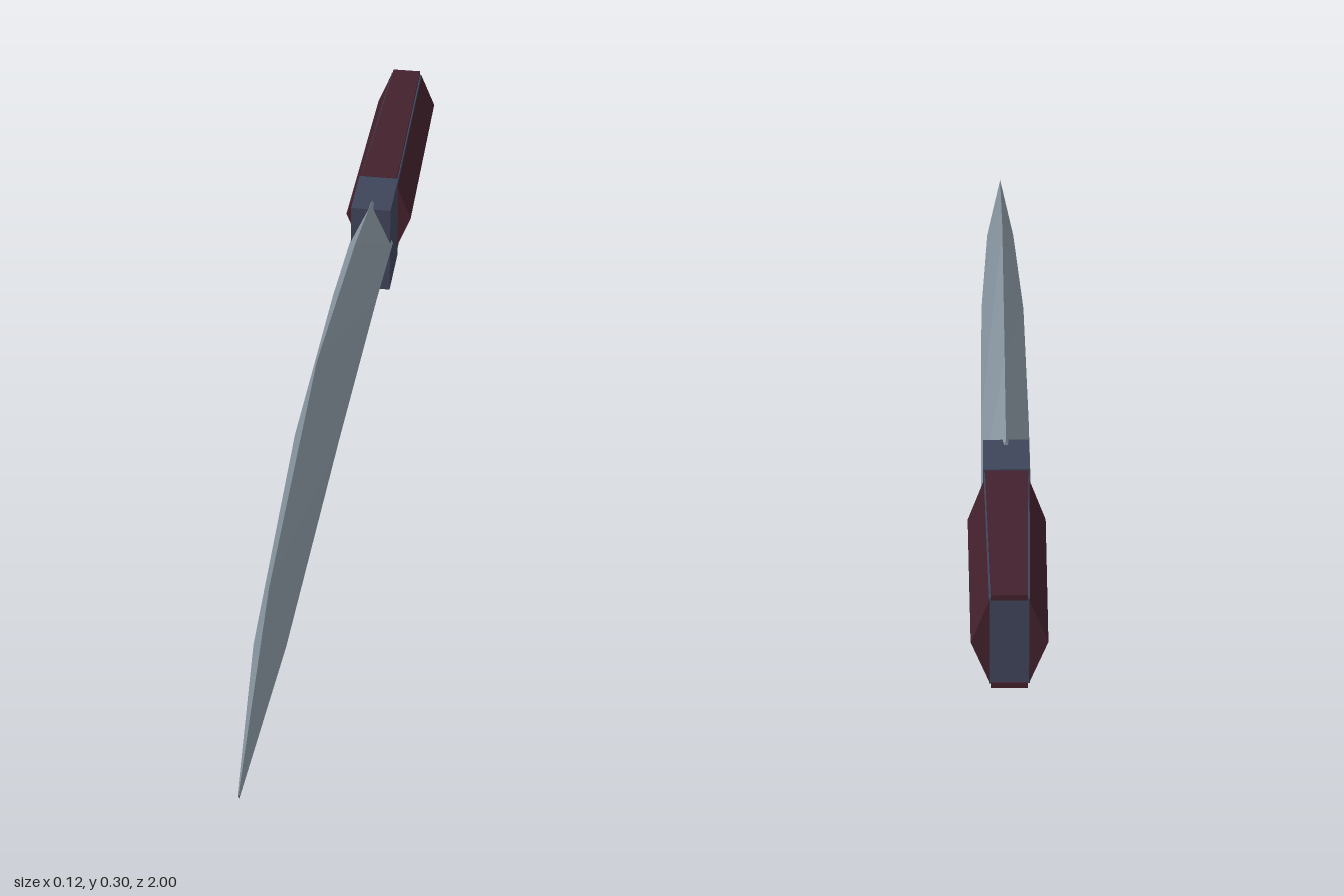
import * as THREE from 'three';

const mat = (name, color) => Object.assign(new THREE.MeshStandardMaterial({ color }), { name });

// Skin a row of cross-sections (back to front, corners counter-clockwise seen
// from the front) with flat faces and cap both ends.
function loft(sections, closed = true) {
  const pos = [];
  const tri = (...pts) => pts.forEach((p) => pos.push(...p));
  const rings = sections.map(({ z, pts }) => pts.map(([x, y]) => [x, y, z]));
  const n = rings[0].length;
  for (let i = 0; i < rings.length - 1; i++) {
    for (let j = 0; j < (closed ? n : n - 1); j++) {
      const k = (j + 1) % n;
      const [a, b, c, d] = [rings[i][j], rings[i][k], rings[i + 1][j], rings[i + 1][k]];
      tri(a, b, d);
      tri(a, d, c);
    }
  }
  const back = rings[0];
  const front = rings[rings.length - 1];
  for (let k = 1; k < n - 1; k++) {
    tri(back[0], back[k + 1], back[k]);
    tri(front[0], front[k], front[k + 1]);
  }
  const geo = new THREE.BufferGeometry();
  geo.setAttribute('position', new THREE.Float32BufferAttribute(pos, 3));
  geo.computeVertexNormals();
  return geo;
}

const rect = (z, w, y0, y1) => ({ z, pts: [[w, y0], [w, y1], [-w, y1], [-w, y0]] });

export function createModel() {
  const group = new THREE.Group();
  group.name = 'knife';
  const steel = mat('pale steel', 0x8b99a4);
  const dark = mat('dark blue steel', 0x3f455a);
  const wood = mat('maroon grip', 0x43212d);
  const add = (name, geo, material) => {
    const mesh = new THREE.Mesh(geo, material);
    mesh.name = name;
    group.add(mesh);
  };

  // Blade stations: z, half width, top, ridge and bottom heights
  const blade = [
    [-0.48, 0.039, 0.185, 0.097, 0.005],
    [-0.25, 0.039, 0.235, 0.125, 0.005],
    [0.21, 0.037, 0.3, 0.15, 0.005],
    [0.71, 0.025, 0.226, 0.115, 0.02],
    [1.0, 0.002, 0.076, 0.07, 0.064],
  ];
  add('bladeUpper', loft(blade.map(([z, w, top, mid]) =>
    ({ z, pts: [[w, mid], [0, top], [-w, mid]] })), false), steel);
  add('bladeLower', loft(blade.map(([z, w, , mid, bottom]) =>
    ({ z, pts: [[-w, mid], [0, bottom], [w, mid]] })), false), dark);

  // Collar block and the tapering core inside the handle
  add('collar', loft([rect(-0.575, 0.036, 0.01, 0.177), rect(-0.46, 0.036, 0.008, 0.178)]), dark);
  add('handleCore', loft([rect(-0.997, 0.029, 0.027, 0.16), rect(-0.575, 0.035, 0.017, 0.17)]), dark);

  // Thin grip strips along the top and bottom of the core
  add('gripTop', loft([rect(-1, 0.026, 0.158, 0.166), rect(-0.578, 0.033, 0.168, 0.176)]), wood);
  add('gripBottom', loft([rect(-1, 0.026, 0.021, 0.029), rect(-0.578, 0.033, 0.011, 0.019)]), wood);

  // Wedge-shaped grip panels on both sides
  for (const [name, s] of [['gripLeft', 1], ['gripRight', -1]]) {
    const wedge = (z, inner, outer, y0, y1) => {
      const pts = [[s * inner, y0], [s * outer, 0.093], [s * inner, y1]];
      return { z, pts: s > 0 ? pts : pts.reverse() };
    };
    add(name, loft([wedge(-1, 0.028, 0.055, 0.029, 0.159), wedge(-0.575, 0.034, 0.06, 0.028, 0.161)]), wood);
  }
  return group;
}
